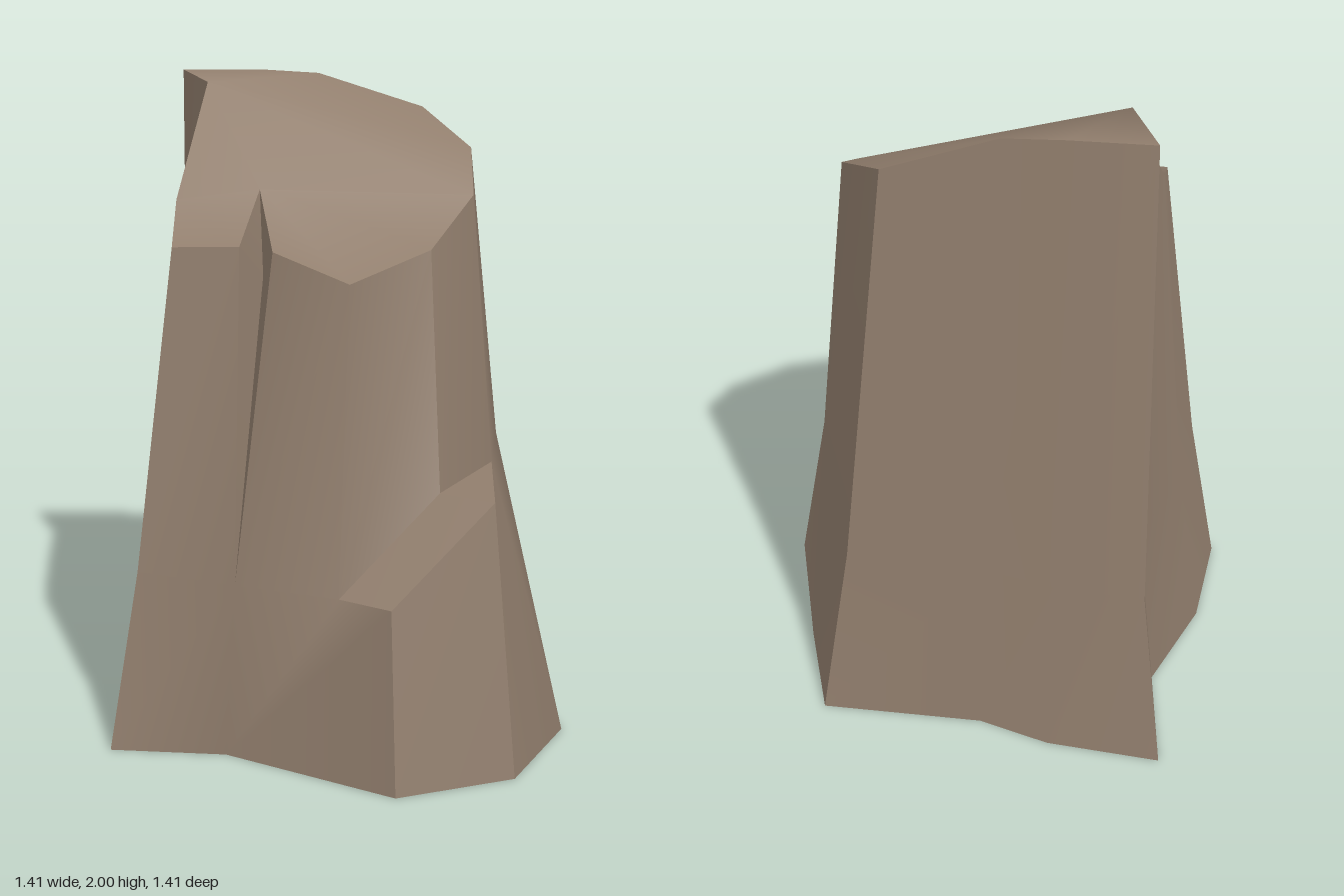
import * as THREE from 'three';

// Corner points: b = base, m = middle, t = top, numbered around from the back right-hand corner
const P = {
  b1: [-0.61, 0, -0.71], m1: [-0.54, 0.56, -0.625], t1: [-0.515, 2, -0.46],
  b2: [-0.26, 0, -0.68], m2: [-0.25, 0.56, -0.6], t2: [-0.26, 2, -0.465],
  b3: [-0.04, 0, -0.61], m3: [-0.05, 0.56, -0.55], t3: [-0.08, 1.99, -0.46],
  b4: [0.46, 0, -0.61], m4: [0.38, 0.57, -0.545], t4: [0.255, 1.88, -0.48],
  b5: [0.57, 0, -0.27], m5: [0.5, 0.85, -0.25], t5: [0.405, 1.78, -0.27],
  b6: [0.7, 0, 0.19], m6: [0.47, 0.845, 0.06], t6: [0.405, 1.67, -0.04],
  b7: [0.53, 0, 0.56], m7: [0.3, 0.845, 0.385], t7: [0.27, 1.55, 0.22],
  b8: [0.17, 0, 0.7], m8: [0, 0.56, 0.53], t8: [0.03, 1.48, 0.385],
  b9: [-0.35, 0, 0.4], m9: [-0.32, 0.53, 0.335],
  b10: [-0.71, 0, 0.37], m10: [-0.62, 0.56, 0.3], t10: [-0.5, 1.56, 0.24],
  b11: [-0.68, 0, 0.01], m11: [-0.6, 0.56, 0], t11: [-0.505, 1.66, 0],
  b12: [-0.555, 0, -0.34], m12: [-0.5, 0.56, -0.31], t12: [-0.42, 1.99, -0.225],
  // outer rim of the ledge
  o7: [0.46, 0.845, 0.475], o8: [0.155, 0.56, 0.625],
  // crack: left lip, right lip, inner top, inner edge
  cl: [-0.3, 1.56, 0.235], cr: [-0.2, 1.55, 0.26], ct: [-0.25, 1.69, -0.01], ck: [-0.235, 1.45, 0.13],
};

// Full-height wall faces between two neighbouring columns
const wall = (a, b) => [`b${b} b${a} m${a} m${b}`, `m${b} m${a} t${a} t${b}`];

// Smooth patch: polygons share corners inside the patch, edges between patches stay sharp
function patch(name, polys, material) {
  const ids = new Map(), pos = [], index = [];
  const id = (k) => {
    if (!ids.has(k)) {
      ids.set(k, ids.size);
      pos.push(...P[k]);
    }
    return ids.get(k);
  };
  for (const poly of polys) {
    const v = poly.split(' ').map(id);
    for (let i = 1; i < v.length - 1; i++) index.push(v[0], v[i], v[i + 1]);
  }
  const g = new THREE.BufferGeometry();
  g.setAttribute('position', new THREE.Float32BufferAttribute(pos, 3));
  g.setIndex(index);
  g.computeVertexNormals();
  const mesh = new THREE.Mesh(g, material);
  mesh.name = name;
  return mesh;
}

export function createModel() {
  const rock = new THREE.MeshStandardMaterial({ color: 0x917e6d, side: THREE.DoubleSide });
  rock.name = 'brown rock';

  const patches = {
    backWall: [...wall(1, 2), ...wall(2, 3), ...wall(3, 4)],
    leftWall: [...wall(4, 5), ...wall(5, 6), 'b7 b6 m6 o7', 'm7 m6 t6 t7'],
    ledgeFront: ['b8 b7 o7 o8'],
    ledgeSlope: ['o8 o7 m7 m8'],
    ledgeShelf: ['o7 m6 m7'],
    frontWall: ['b9 b8 o8 m8 m9', 'm8 m7 t7 t8', 'm9 m8 t8 cr', 'b10 b9 m9 m10', 'm10 m9 cl t10'],
    rightWall: [...wall(10, 11), ...wall(11, 12), ...wall(12, 1)],
    crackRightSide: ['cl m9 ck ct'],
    crackLeftSide: ['cr ct ck m9'],
    slopedTop: [
      't1 t12 t2', 't2 t12 t3', 't12 t5 t3', 't3 t5 t4',
      't12 t11 ct', 't12 ct t6', 't12 t6 t5',
      't11 t10 cl', 't11 cl ct', 'ct cr t8', 'ct t8 t7', 'ct t7 t6',
    ],
  };

  const group = new THREE.Group();
  group.name = 'rock';
  for (const [name, polys] of Object.entries(patches)) group.add(patch(name, polys, rock));
  return group;
}
